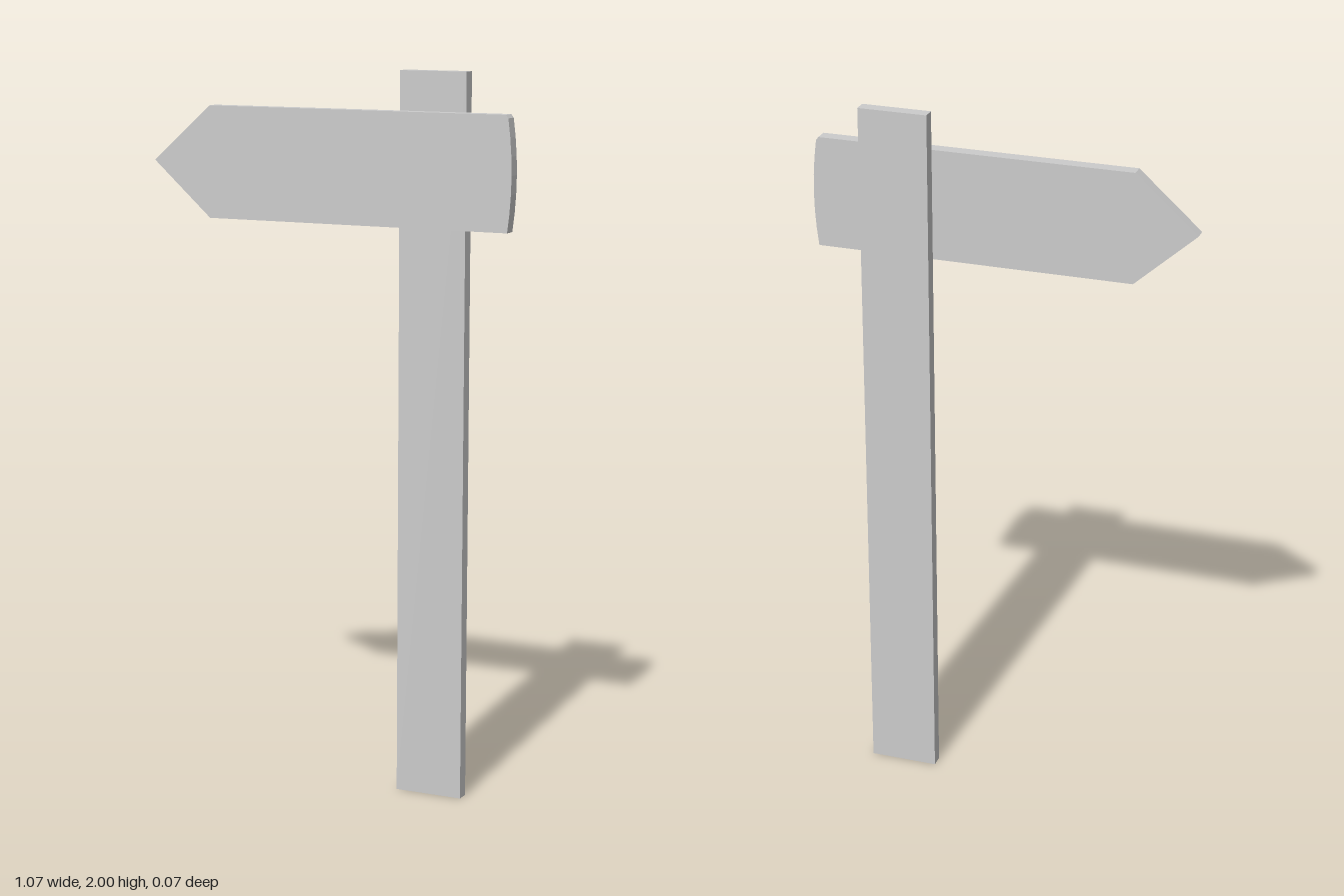
import * as THREE from 'three';

export function createModel() {
  const group = new THREE.Group();
  const material = new THREE.MeshStandardMaterial({ color: 0xcccccc, flatShading: true });

  // Upright plank, standing behind the board
  const post = new THREE.Mesh(new THREE.BoxGeometry(0.193, 2, 0.036), material);
  post.name = 'post';
  post.position.set(0.292, 1, -0.019);
  group.add(post);

  // Arrow board: pointed at one end, gently bowed at the other
  const outline = new THREE.Shape();
  outline.moveTo(-0.536, 1.738);
  outline.lineTo(-0.363, 1.583);
  outline.lineTo(0.524, 1.583);
  outline.quadraticCurveTo(0.546, 1.735, 0.524, 1.884);
  outline.lineTo(0.517, 1.893);
  outline.lineTo(-0.363, 1.893);
  outline.closePath();
  const board = new THREE.Mesh(
    new THREE.ExtrudeGeometry(outline, { depth: 0.037, bevelEnabled: false, curveSegments: 6 }),
    material
  );
  board.name = 'arrowBoard';
  group.add(board);

  return group;
}
